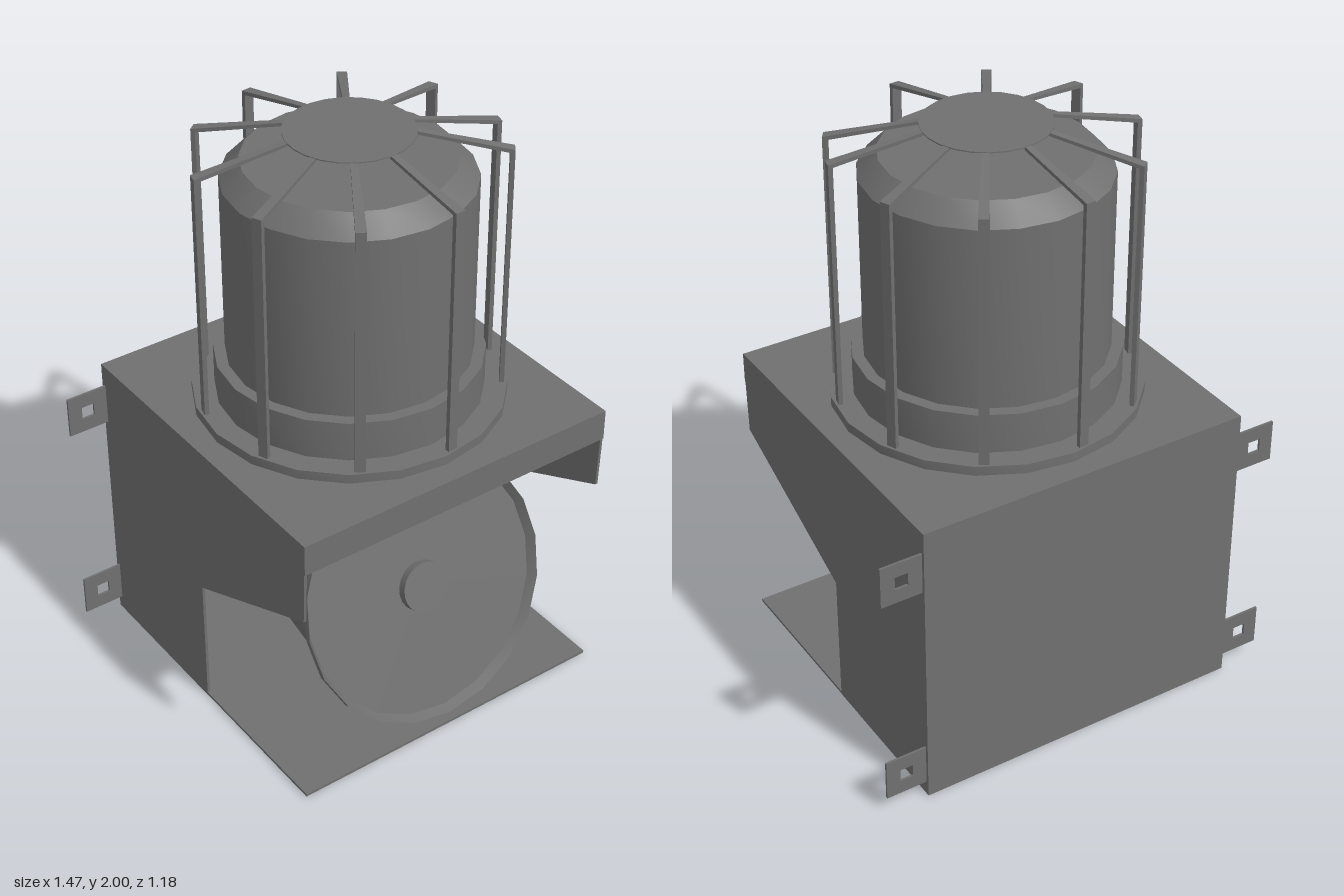
import * as THREE from 'three';
import { toCreasedNormals } from 'three/addons/utils/BufferGeometryUtils.js';

const material = new THREE.MeshStandardMaterial({ color: 0x707070 });

function add(parent, name, geometry, x = 0, y = 0, z = 0) {
  const mesh = new THREE.Mesh(geometry, material);
  mesh.name = name;
  mesh.position.set(x, y, z);
  parent.add(mesh);
  return mesh;
}

const box = (w, h, d) => new THREE.BoxGeometry(w, h, d);

// Turned part: profile as [radius, height], listed from the bottom up
function turned(profile, sides = 20) {
  const points = profile.map(([r, y]) => new THREE.Vector2(r, y));
  return toCreasedNormals(new THREE.LatheGeometry(points, sides), Math.PI / 6);
}

function polygon(points) {
  return new THREE.Shape(points.map(([x, y]) => new THREE.Vector2(x, y)));
}

// Open sheet-metal box with a hood over the horn
function createHousing() {
  const housing = new THREE.Group();
  housing.name = 'housing';
  const t = 0.01, w = 0.59;
  add(housing, 'topPlate', box(2 * w, t, 2 * w), 0, 1.045, 0);
  add(housing, 'backPlate', box(2 * w, 1.05, t), 0, 0.525, -w + t / 2);
  add(housing, 'floorPlate', box(2 * w, t, 1.17), 0, 0.007, -0.005);
  add(housing, 'frontStrip', box(2 * w, 0.11, t), 0, 0.995, w - t / 2);

  const side = polygon([[-w, 0], [-0.01, 0], [-0.01, 0.48], [0.58, 0.75], [w, 1.05], [-w, 1.05]]);
  const panel = new THREE.ExtrudeGeometry(side, { depth: t, bevelEnabled: false });
  panel.rotateY(-Math.PI / 2); // profile runs along +z, thickness along -x
  add(housing, 'leftPanel', panel, w);
  add(housing, 'rightPanel', panel, -w + t);
  return housing;
}

// Wall tabs with a square bolt hole
function createBrackets() {
  const brackets = new THREE.Group();
  brackets.name = 'brackets';
  const a = 0.073, h = 0.023;
  const shape = polygon([[-a, -a], [a, -a], [a, a], [-a, a]]);
  shape.holes.push(new THREE.Path([[-h, -h], [-h, h], [h, h], [h, -h]].map(([x, y]) => new THREE.Vector2(x, y))));
  const tab = new THREE.ExtrudeGeometry(shape, { depth: 0.008, bevelEnabled: false });
  for (const x of [-0.662, 0.662])
    for (const y of [0.125, 0.898]) add(brackets, 'bracket', tab, x, y, -0.579);
  return brackets;
}

// Tapered horn tilted upward, with a rimmed, recessed face and a hub
function createHorn() {
  const horn = new THREE.Group();
  horn.name = 'horn';
  add(horn, 'hornBody', turned([[0, -0.84], [0.2, -0.84], [0.412, -0.085]]));
  add(horn, 'hornRim', turned([[0.412, -0.085], [0.466, -0.02], [0.466, 0], [0.445, -0.03], [0, -0.03]]));
  add(horn, 'hornHub', turned([[0.087, -0.03], [0.087, 0], [0, 0]]));
  horn.position.set(0, 0.492, 0.43);
  horn.rotation.x = THREE.MathUtils.degToRad(71);
  return horn;
}

// Beacon lens on its stepped base
function createBeacon() {
  const beacon = new THREE.Group();
  beacon.name = 'beacon';
  add(beacon, 'baseFlange', turned([[0, 1.05], [0.515, 1.05], [0.515, 1.083], [0, 1.083]]));
  add(beacon, 'collar', turned([[0.44, 1.083], [0.44, 1.222], [0, 1.222]]));
  add(beacon, 'lens', turned([[0.402, 1.222], [0.402, 1.845], [0.338, 1.91], [0, 1.91]]));
  return beacon;
}

// Guard cage: bent flat bars meeting at a thin top disc
function createCage() {
  const cage = new THREE.Group();
  cage.name = 'guardCage';
  const profile = polygon([
    [0.487, 1.083], [0.502, 1.083], [0.502, 1.938], [0.2, 1.999], [0.2, 1.988], [0.487, 1.928],
  ]);
  const width = 0.034;
  const bar = new THREE.ExtrudeGeometry(profile, { depth: width, bevelEnabled: false });
  bar.translate(0, 0, -width / 2);
  // Narrow each bar toward its inner end
  const p = bar.attributes.position;
  for (let i = 0; i < p.count; i++) if (p.getX(i) < 0.3) p.setZ(i, p.getZ(i) * 0.65);
  bar.computeVertexNormals();
  for (const angle of [95, 57, 22, -14, -36, -86, -122, -158, 166, 129])
    add(cage, 'guardBar', bar).rotation.y = THREE.MathUtils.degToRad(angle);
  add(cage, 'guardDisc', new THREE.CylinderGeometry(0.207, 0.207, 0.004, 24), 0, 1.998, 0);
  return cage;
}

export function createModel() {
  const model = new THREE.Group();
  model.name = 'hornBeacon';
  model.add(createHousing(), createBrackets(), createHorn(), createBeacon(), createCage());
  return model;
}
